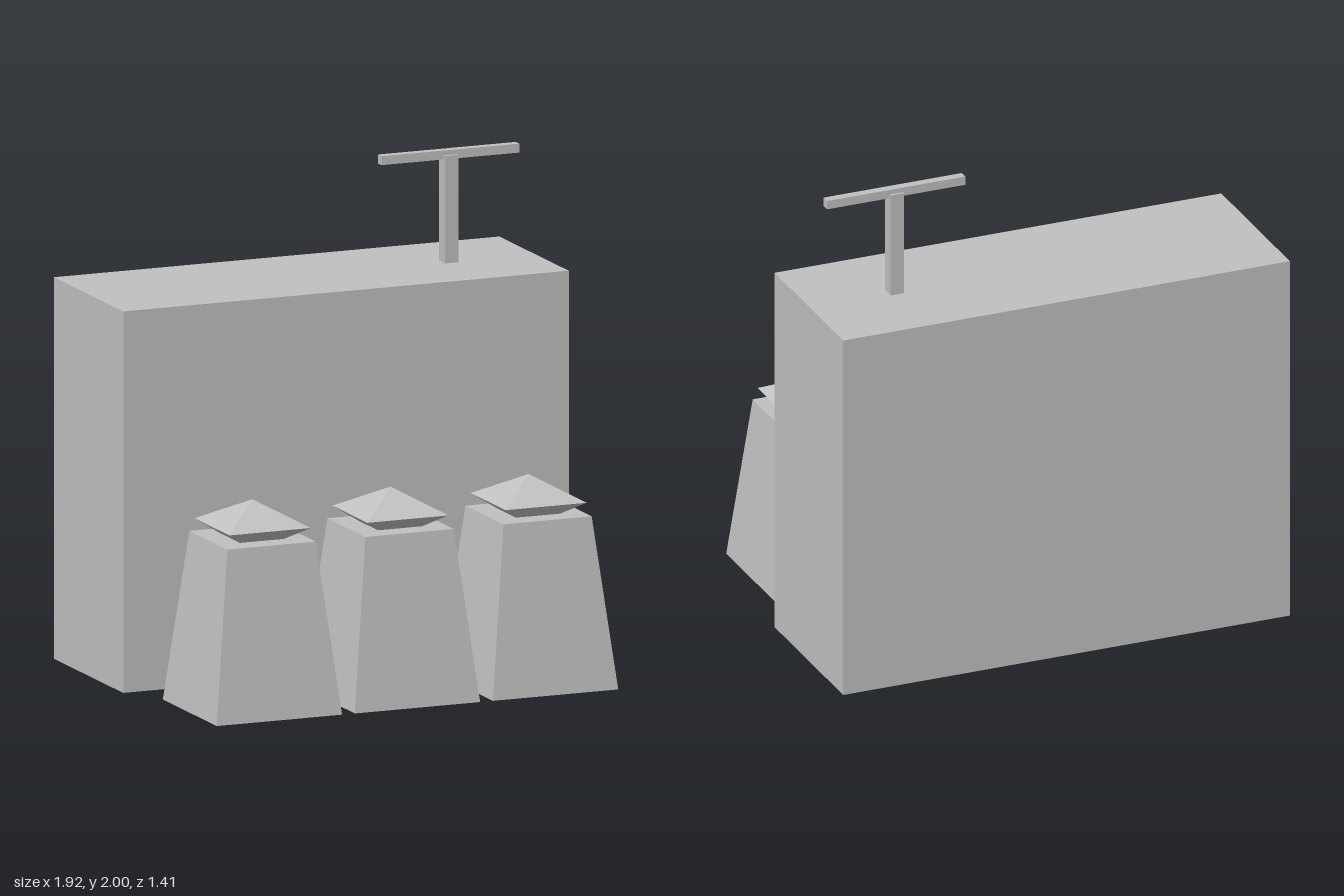
import * as THREE from 'three';

const grey = new THREE.MeshStandardMaterial({ color: 0xc0c0c0 });
grey.name = 'light grey';

function part(name, geometry, x, y, z) {
  const mesh = new THREE.Mesh(geometry, grey);
  mesh.name = name;
  mesh.position.set(x, y, z);
  return mesh;
}

// Square tapered block standing on y = 0; half widths at top and bottom
function taper(topHalf, bottomHalf, height) {
  const g = new THREE.CylinderGeometry(
    topHalf * Math.SQRT2, bottomHalf * Math.SQRT2, height, 4).toNonIndexed();
  g.rotateY(Math.PI / 4);
  g.translate(0, height / 2, 0);
  g.computeVertexNormals();
  return g;
}

// Tapered tower with a flared eave and a pyramid roof
function createTower(x) {
  const tower = new THREE.Group();
  tower.name = 'tower';
  tower.position.set(x, 0, 0.435);
  tower.add(part('towerBody', taper(0.19, 0.27, 0.692), 0, 0, 0));
  tower.add(part('towerEave', taper(0.175, 0.095, 0.053), 0, 0.692, 0));
  tower.add(part('towerRoof', taper(0, 0.175, 0.097), 0, 0.745, 0));
  return tower;
}

export function createModel() {
  const model = new THREE.Group();
  model.name = 'building';

  // Main block at the back
  model.add(part('mainBlock', new THREE.BoxGeometry(1.92, 1.545, 0.695), 0, 0.7725, -0.3575));

  // T-shaped mast on the roof
  const mast = new THREE.Group();
  mast.name = 'mast';
  mast.position.set(0.592, 0, -0.357);
  mast.add(part('mastPost', new THREE.BoxGeometry(0.058, 0.435, 0.058), 0, 1.7625, 0));
  mast.add(part('mastBar', new THREE.BoxGeometry(0.594, 0.036, 0.036), 0, 1.982, 0));
  model.add(mast);

  // Row of three towers in front
  for (const x of [-0.595, 0, 0.595]) model.add(createTower(x));

  return model;
}
